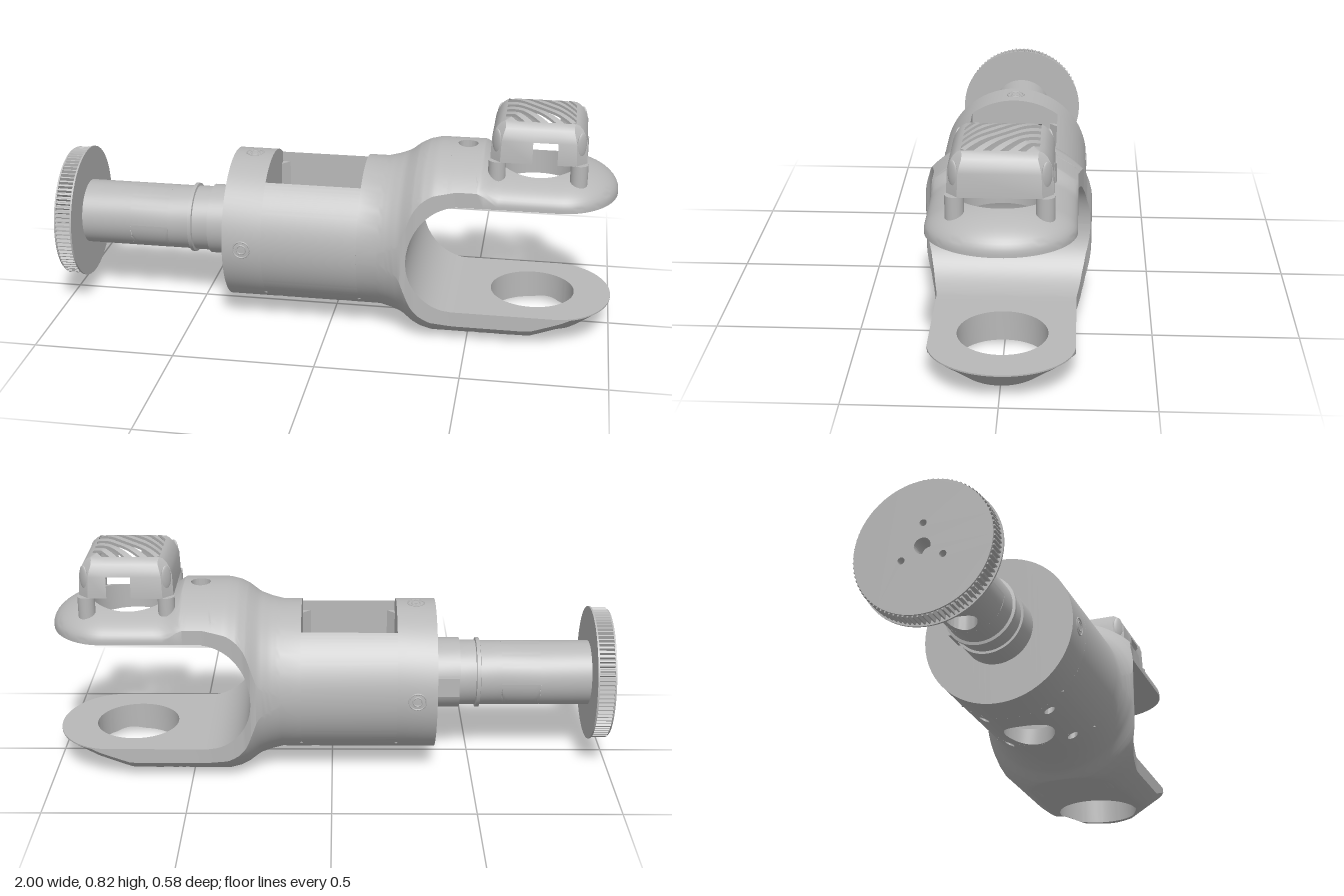
import * as THREE from 'three';
import { toCreasedNormals } from 'three/addons/utils/BufferGeometryUtils.js';

const AXIS = 0.32; // height of the long axis
const HOLE_X = 0.72; // centre of the round holes in the fork arms

const grey = new THREE.MeshStandardMaterial({ color: 0xb8b8b8, side: THREE.DoubleSide });
grey.name = 'grey';

// piecewise linear lookup
function at(table, x) {
  if (x <= table[0][0]) return table[0][1];
  for (let i = 1; i < table.length; i++) {
    const [x0, a] = table[i - 1], [x1, b] = table[i];
    if (x <= x1) return a + (b - a) * (x - x0) / (x1 - x0);
  }
  return table[table.length - 1][1];
}
const radiusTable = [[0.18, 0.27], [0.22, 0.28], [0.26, 0.295], [0.3, 0.325], [0.33, 0.34], [0.37, 0.35]];
const widthTable = [[0.18, 0.27], [0.22, 0.278], [0.25, 0.287], [0.27, 0.29], [0.285, 0.285], [0.31, 0.27], [0.35, 0.258], [0.45, 0.24]];
const halfWidth = x => at(widthTable, x);
const arc = (x, z) => Math.sqrt(Math.max(0, at(radiusTable, x) ** 2 - z * z));
const edge = (x, z) => Math.min(1, Math.hypot(Math.max(0, x - 0.8) / 0.2, z / 0.24)); // 1 on the arm outline
const outerTop = (x, z) => {
  const y = AXIS + arc(x, z);
  const lip = 0.53 + 0.095 * Math.sqrt(1 - edge(x, z) ** 2);
  return y + (lip - y) * at([[0.53, 0], [0.585, 1]], x);
};
const outerBottom = (x, z) => {
  const y = Math.max(AXIS - arc(x, z), at([[0.35, 0.005], [0.9, 0.025]], x));
  const bevel = 0.115 - 0.18 * (1 - edge(x, z));
  return y + Math.max(0, bevel - y) * at([[0.72, 0], [0.86, 1]], x);
};
const notch = x => 0.2 * Math.sqrt(Math.max(0, 1 - Math.min(0, (x - 0.46) / 0.175) ** 2));
const range = (a, b, n) => Array.from({ length: n + 1 }, (_, i) => a + (b - a) * i / n);

// skin joining closed cross-sections
function loft(sections, { loop = false, caps = false, crease = 0.6, skip = () => false } = {}) {
  const n = sections[0].length, index = [];
  const rows = loop ? sections.length : sections.length - 1;
  for (let i = 0; i < rows; i++) {
    const i2 = (i + 1) % sections.length;
    for (let j = 0; j < n; j++) {
      if (skip(i, j)) continue;
      const k = (j + 1) % n, a = i * n + j, b = i * n + k, c = i2 * n + k, d = i2 * n + j;
      index.push(a, b, c, a, c, d);
    }
  }
  if (caps) {
    const last = (sections.length - 1) * n;
    for (let j = 0; j < n / 2 - 1; j++) { // section halves mirror each other
      const a = j, b = j + 1, c = n - 2 - j, d = n - 1 - j;
      index.push(a, c, b, a, d, c);
      index.push(last + a, last + b, last + c, last + a, last + c, last + d);
    }
  }
  const g = new THREE.BufferGeometry();
  g.setAttribute('position', new THREE.Float32BufferAttribute(sections.flat(2), 3));
  g.setIndex(index);
  return toCreasedNormals(g, crease);
}

// solid between two height rules, swept along x
function slab(xs, z0, z1, lo, hi) {
  const N = 40;
  return loft(xs.map(x => {
    const top = [], bottom = [];
    for (let i = 0; i <= N; i++) {
      const t = 0.5 - 0.5 * Math.cos(Math.PI * i / N);
      const z = z0(x) + (z1(x) - z0(x)) * t;
      top.push([x, hi(x, z), z]);
      bottom.unshift([x, lo(x, z), z]);
    }
    return [...top, ...bottom];
  }), { caps: true });
}

// solid between two height rules, with an outline and a round hole
function holedSlab(outline, cx, cz, r, lo, hi) {
  const K = 12;
  return loft(outline.map(([x, z]) => {
    const a = Math.atan2(z - cz, x - cx), top = [], bottom = [];
    const hx = cx + r * Math.cos(a), hz = cz + r * Math.sin(a);
    for (let i = 0; i <= K; i++) {
      const t = Math.sin(i / K * Math.PI / 2), px = hx + (x - hx) * t, pz = hz + (z - hz) * t;
      top.push([px, hi(px, pz), pz]);
      bottom.unshift([px, lo(px, pz), pz]);
    }
    return [...top, ...bottom];
  }), { loop: true });
}
const rectangle = (x0, x1, z0, z1) => [
  ...range(z0, z1, 16).slice(1).map(z => [x1, z]), ...range(x1, x0, 16).slice(1).map(x => [x, z1]),
  ...range(z1, z0, 16).slice(1).map(z => [x0, z]), ...range(x0, x1, 16).slice(1).map(x => [x, z0])];

export function createModel() {
  const model = new THREE.Group();
  const add = (name, geometry, x = 0, y = 0, z = 0) => {
    const mesh = new THREE.Mesh(geometry, grey);
    mesh.name = name;
    mesh.position.set(x, y, z);
    model.add(mesh);
    return mesh;
  };
  const left = x => halfWidth(x), right = x => -halfWidth(x);

  // round body, with an open pocket in the middle
  add('bodyEnd', slab([-0.37, -0.23], right, left, outerBottom, outerTop));
  add('bodyNeck', slab([0.11, 0.18, ...range(0.19, 0.285, 10)], right, left, outerBottom, outerTop));
  const floor = () => 0.11;
  for (const s of [-1, 1]) {
    add('pocketSide', slab([-0.23, 0.11], () => 0.16 * s, () => 0.27 * s, outerBottom, outerTop));
    for (const x of [-0.23, 0.11]) {
      add('pocketCorner', new THREE.BoxGeometry(0.04, 0.38, 0.04), x, 0.31, 0.16 * s).rotation.y = Math.PI / 4;
    }
    const [z0, z1] = s < 0 ? [-0.16, 0] : [0, 0.16];
    add('pocketFloorEnd', holedSlab(rectangle(-0.23, -0.155, z0, z1), -0.185, 0.12 * s, 0.018, outerBottom, floor));
    add('pocketFloorEnd', holedSlab(rectangle(0.035, 0.11, z0, z1), 0.06, 0.12 * s, 0.018, outerBottom, floor));
  }
  add('pocketFloor', holedSlab(rectangle(-0.155, 0.035, -0.16, 0.16), -0.06, 0, 0.09, outerBottom, floor));

  // rims of the screw holes around the body
  for (const a of [-Math.PI / 2, 0, Math.PI / 2]) {
    for (const r of [0.03, 0.016]) {
      const rim = new THREE.TorusGeometry(r, 0.003, 6, 32).rotateX(Math.PI / 2).translate(0, 0.269, 0);
      add('bodyScrewRim', rim, -0.3, AXIS).rotation.x = a;
    }
  }

  // fork: curved roots, then arms with round holes
  const rootXs = [...range(0, 1.2, 18), 1.3].map(t => 0.46 - 0.175 * Math.cos(t));
  const upperInner = x => AXIS + notch(x), lowerInner = x => AXIS - notch(x);
  add('upperArmRoot', slab([...rootXs, 0.42], right, left, upperInner, outerTop));
  add('lowerArmRoot', slab([...rootXs, 0.44, 0.46, 0.5], right, left, outerBottom, lowerInner));
  const bridge = rectangle(0.42, 0.52, -1, 1).map(([x, z]) => [x, z * halfWidth(x)]);
  add('upperArmBridge', holedSlab(bridge, 0.47, 0, 0.036, upperInner, outerTop));
  const armOutline = x0 => [
    ...range(-0.24, 0.24, 16).map(z => [x0, z]),
    ...range(x0, 0.8, 12).slice(1).map(x => [x, 0.24]),
    ...range(Math.PI / 2, -Math.PI / 2, 40).slice(1).map(a => [0.8 + 0.2 * Math.cos(a), 0.24 * Math.sin(a)]),
    ...range(0.8, x0, 12).slice(1, -1).map(x => [x, -0.24])];
  add('upperArm', holedSlab(armOutline(0.52), HOLE_X, 0, 0.14, () => 0.52, outerTop));
  add('lowerArm', holedSlab(armOutline(0.5), HOLE_X, 0, 0.15, outerBottom, () => 0.12));
  for (const s of [-1, 1]) {
    add('underRidge', new THREE.CapsuleGeometry(0.022, 0.06, 6, 16).rotateZ(Math.PI / 2), 0.41, 0.026, 0.14 * s);
  }

  // stepped shaft, with a blind hole underneath
  const turned = (name, profile) => add(name, toCreasedNormals(
    new THREE.LatheGeometry(profile.map(p => new THREE.Vector2(...p)), 64).rotateZ(-Math.PI / 2), 0.5), 0, AXIS);
  turned('shaftEnd', [[0, -0.94], [0.117, -0.94], [0.117, -0.75]]);
  turned('shaft', [[0.117, -0.61], [0.117, -0.535], [0.127, -0.533], [0.127, -0.52],
    [0.118, -0.518], [0.118, -0.46], [0.127, -0.46], [0.127, -0.36]]);
  const shaftArc = z => Math.sqrt(Math.max(0, 0.117 ** 2 - z * z));
  add('shaftTop', slab([-0.75, -0.61], () => -0.117, () => 0.117, () => AXIS, (x, z) => AXIS + shaftArc(z)));
  add('shaftUnderside', holedSlab(rectangle(-0.75, -0.61, -0.117, 0.117), -0.68, 0, 0.05,
    (x, z) => AXIS - shaftArc(z), () => AXIS));
  add('shaftKey', new THREE.BoxGeometry(0.085, 0.07, 0.04), -0.4125, AXIS, -0.125);

  // toothed wheel with thin rims and bolt holes
  const disc = (points, depth) => {
    const shape = new THREE.Shape(points);
    const punch = (x, y, r) => shape.holes.push(new THREE.Path().absarc(x, y, r, 0, Math.PI * 2, true));
    punch(0, 0, 0.028);
    for (let i = 0; i < 3; i++) {
      const a = Math.PI / 2 + i * Math.PI * 2 / 3;
      punch(0.08 * Math.cos(a), 0.08 * Math.sin(a), 0.012);
    }
    return new THREE.ExtrudeGeometry(shape, { depth, bevelEnabled: false, curveSegments: 16 }).rotateY(Math.PI / 2);
  };
  const circle = (n, radius) => Array.from({ length: n }, (_, i) =>
    new THREE.Vector2(radius(i) * Math.cos(i / n * Math.PI * 2), radius(i) * Math.sin(i / n * Math.PI * 2)));
  add('wheelTeeth', disc(circle(360, i => (i % 4 < 2 ? 0.237 : 0.224)), 0.056), -0.994, AXIS);
  add('outerRim', disc(circle(96, () => 0.232), 0.006), -1, AXIS);
  add('innerRim', disc(circle(96, () => 0.242), 0.006), -0.938, AXIS);

  // rounded housing above the upper arm, with a window in front and behind
  const rings = [[0.165, 0.665, 0.035], [0.162, 0.742, 0.035], [0.155, 0.763, 0.033],
    [0.144, 0.783, 0.028], [0.132, 0.796, 0.016], [0.12, 0.802, 0.001]];
  add('housingShell', loft(rings.map(([h, y, c]) => [
    [h, y, h - c], [h - c, y, h], [0.065, y, h], [-0.02, y, h], [c - h, y, h], [-h, y, h - c],
    [-h, y, c - h], [c - h, y, -h], [-0.02, y, -h], [0.065, y, -h], [h - c, y, -h], [h, y, c - h]]),
  { crease: 0.5, skip: (i, j) => i === 0 && (j === 2 || j === 8) }), HOLE_X);

  // diagonal vent bars following the domed top
  const dome = (x, z) => 0.82 - 0.018 * (Math.max(0, Math.max(Math.abs(x), Math.abs(z)) - 0.05) / 0.07) ** 2;
  const bar = (c0, c1) => loft(range(-1, 1, 24).map(t => {
    const point = (c, drop) => {
      const s = t * (0.24 - Math.abs(c)), x = (s + c) / 2, z = (s - c) / 2;
      return [x, dome(x, z) - drop, z];
    };
    return [point(c0, 0), point(c1, 0), point(c1, 0.01), point(c0, 0.01)];
  }), { caps: true });
  add('ventBar', bar(-0.014, 0.014), HOLE_X);
  for (const s of [-1, 1]) {
    for (const c of [0.0535, 0.1065, 0.1595]) add('ventBar', bar(s * c - 0.0135, s * c + 0.0135), HOLE_X);
    add('ventCorner', bar(s * 0.199, s * 0.239), HOLE_X);
    for (const t of [-1, 1]) {
      add('housingPost', new THREE.CylinderGeometry(0.03, 0.03, 0.127, 24), HOLE_X + 0.14 * t, 0.603, 0.14 * s);
      const screw = add('cornerScrew', new THREE.SphereGeometry(1, 20, 12), HOLE_X + 0.143 * t, 0.735, 0.143 * s);
      screw.scale.set(0.022, 0.045, 0.008);
      screw.rotation.y = Math.atan2(t, s);
    }
  }
  return model;
}
